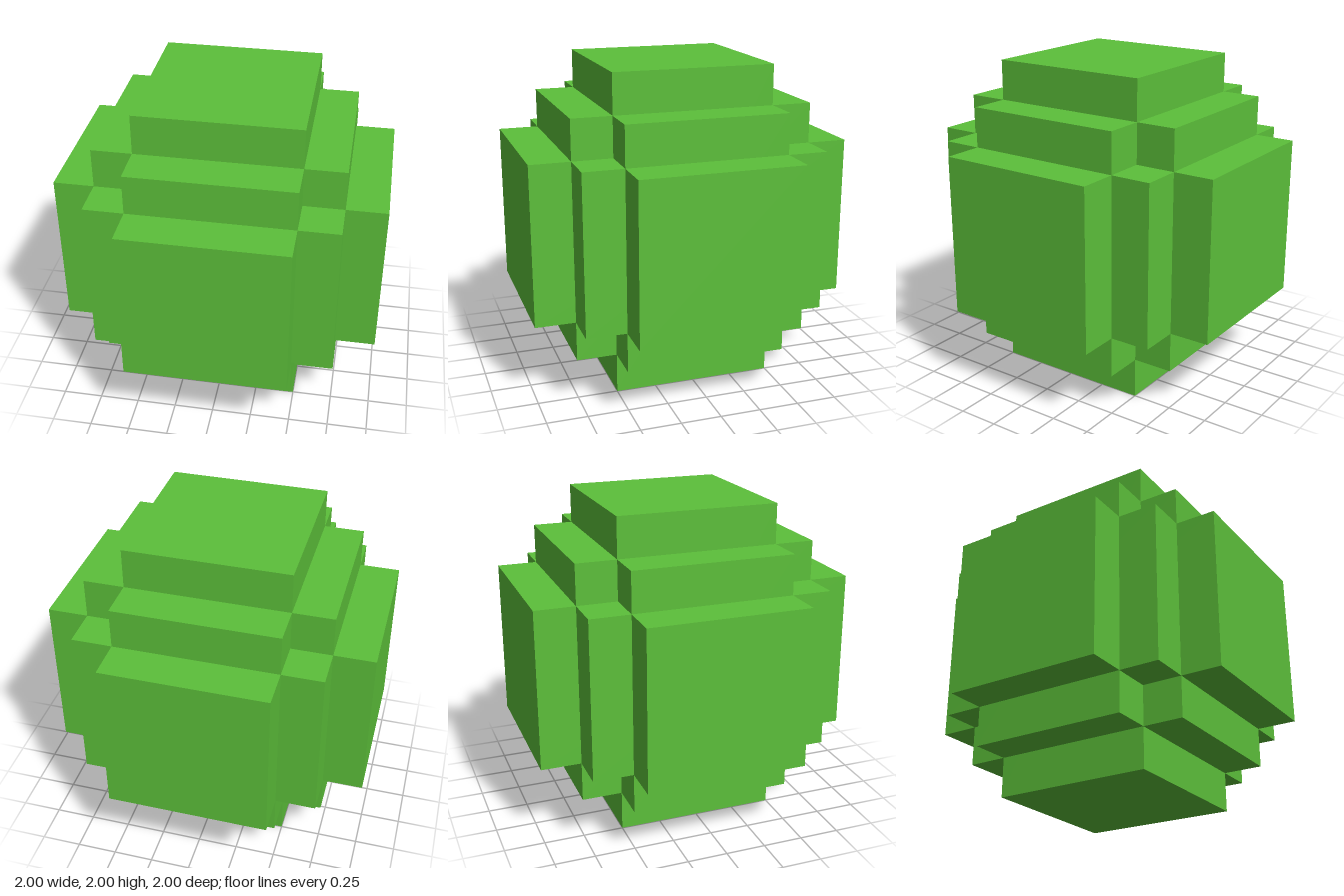
import * as THREE from 'three';

export function createModel() {
  const model = new THREE.Group();
  model.name = 'blockSphere';
  const green = new THREE.MeshStandardMaterial({ color: 0x5cc03a });
  green.name = 'leaf green';

  const addBox = (name, size) => {
    const mesh = new THREE.Mesh(new THREE.BoxGeometry(...size), green);
    mesh.name = name;
    mesh.position.y = 1;
    model.add(mesh);
  };

  // For each axis: a long bar whose ends are the outer caps,
  // and a wide slab across it that forms the stepped edges
  ['X', 'Y', 'Z'].forEach((axis, i) => {
    addBox(`capBar${axis}`, [0, 1, 2].map((k) => (k === i ? 2 : 1)));
    addBox(`stepSlab${axis}`, [0, 1, 2].map((k) => (k === i ? 1 : 1.5)));
  });

  return model;
}
